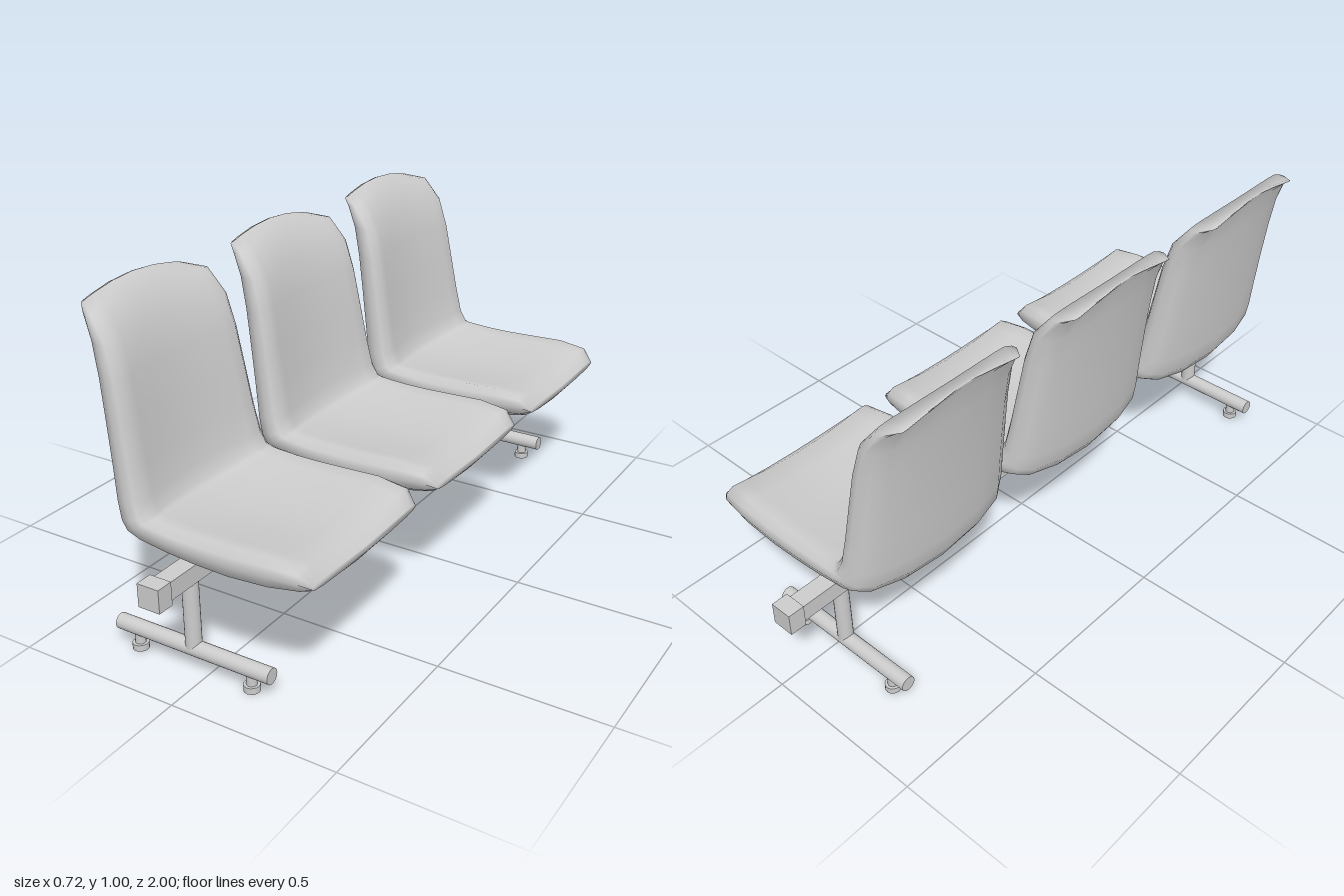
import * as THREE from 'three';

const material = new THREE.MeshStandardMaterial({ color: 0xcccccc });

function add(parent, name, geometry, x, y, z) {
  const mesh = new THREE.Mesh(geometry, material);
  mesh.name = name;
  mesh.position.set(x, y, z);
  parent.add(mesh);
  return mesh;
}

// Side profile from the backrest top to the seat front:
// outer x, outer y, inner x, inner y, half width, drop of the edges
const STATIONS = [
  [-0.36, 1.0, -0.35, 1.003, 0.2, 0.03],
  [-0.35, 0.975, -0.288, 0.982, 0.238, 0.022],
  [-0.337, 0.9, -0.231, 0.895, 0.25, 0.005],
  [-0.322, 0.8, -0.205, 0.8, 0.256, 0],
  [-0.307, 0.69, -0.186, 0.69, 0.263, 0],
  [-0.293, 0.57, -0.166, 0.575, 0.27, 0],
  [-0.283, 0.47, -0.149, 0.49, 0.277, 0],
  [-0.274, 0.41, -0.13, 0.453, 0.282, 0],
  [-0.25, 0.372, -0.118, 0.449, 0.285, 0],
  [-0.2, 0.348, -0.095, 0.447, 0.285, 0],
  [-0.1, 0.33, -0.03, 0.443, 0.285, 0],
  [0, 0.317, 0.04, 0.442, 0.285, 0],
  [0.12, 0.31, 0.13, 0.444, 0.285, 0],
  [0.24, 0.318, 0.24, 0.448, 0.283, 0],
  [0.33, 0.34, 0.325, 0.44, 0.272, 0],
  [0.36, 0.375, 0.36, 0.4, 0.25, 0],
];

// Half of the dished cross-section: side position, depth from outer (0) to inner (1)
const HALF = [
  [0, 0], [0.45, 0.06], [0.8, 0.22], [0.95, 0.42], [1, 0.68],
  [0.98, 0.88], [0.9, 1], [0.75, 0.95], [0.4, 0.82], [0, 0.76],
];

function shellGeometry() {
  const ring = [...HALF, ...HALF.slice(1, -1).reverse().map(([s, t]) => [-s, t])];
  const n = ring.length;
  const positions = [];
  const index = [];
  for (const [ox, oy, ix, iy, w, drop] of STATIONS) {
    for (const [s, t] of ring) {
      positions.push(ox + (ix - ox) * t, oy + (iy - oy) * t - drop * s * s, s * w);
    }
  }
  const last = STATIONS.length - 1;
  for (let i = 0; i < last; i++) {
    for (let j = 0; j < n; j++) {
      const k = (j + 1) % n;
      const a = i * n + j, b = (i + 1) * n + j, c = (i + 1) * n + k, d = i * n + k;
      index.push(a, b, d, b, c, d);
    }
  }
  // Close both ends by joining mirrored points of the ring
  for (const end of [0, last]) {
    const [ox, oy, ix, iy] = STATIONS[end];
    const centre = positions.length / 3;
    positions.push((ox + ix) / 2, (oy + iy) / 2, 0);
    for (let j = 0; j < n; j++) {
      const a = end * n + j, b = end * n + (j + 1) % n;
      if (end === 0) index.push(centre, a, b);
      else index.push(centre, b, a);
    }
  }
  const geometry = new THREE.BufferGeometry();
  geometry.setAttribute('position', new THREE.Float32BufferAttribute(positions, 3));
  geometry.setIndex(index);
  geometry.computeVertexNormals();
  return geometry;
}

function createLeg() {
  const leg = new THREE.Group();
  leg.name = 'leg';
  add(leg, 'post', new THREE.CylinderGeometry(0.023, 0.023, 0.21, 20), -0.05, 0.175, 0);
  const bar = add(leg, 'footBar', new THREE.CylinderGeometry(0.023, 0.023, 0.505, 20), -0.05, 0.065, 0);
  bar.rotation.z = Math.PI / 2;
  for (const x of [-0.238, 0.137]) {
    add(leg, 'footStem', new THREE.CylinderGeometry(0.015, 0.015, 0.04, 16), x, 0.035, 0);
    add(leg, 'footPad', new THREE.CylinderGeometry(0.023, 0.023, 0.019, 16), x, 0.0095, 0);
  }
  return leg;
}

export function createModel() {
  const bench = new THREE.Group();
  bench.name = 'threeSeatBench';

  // Seats
  const shell = shellGeometry();
  for (const z of [-0.6, 0.015, 0.63]) add(bench, 'seatShell', shell, 0, 0, z);

  // Beam and its end caps
  add(bench, 'beam', new THREE.BoxGeometry(0.055, 0.053, 1.96), -0.052, 0.299, 0);
  for (const side of [-1, 1]) {
    add(bench, 'beamCap', new THREE.BoxGeometry(0.068, 0.068, 0.05), -0.051, 0.299, side * 0.975);
  }

  // Legs
  for (const z of [-0.8, 0.84]) {
    const leg = createLeg();
    leg.position.z = z;
    bench.add(leg);
  }
  return bench;
}
